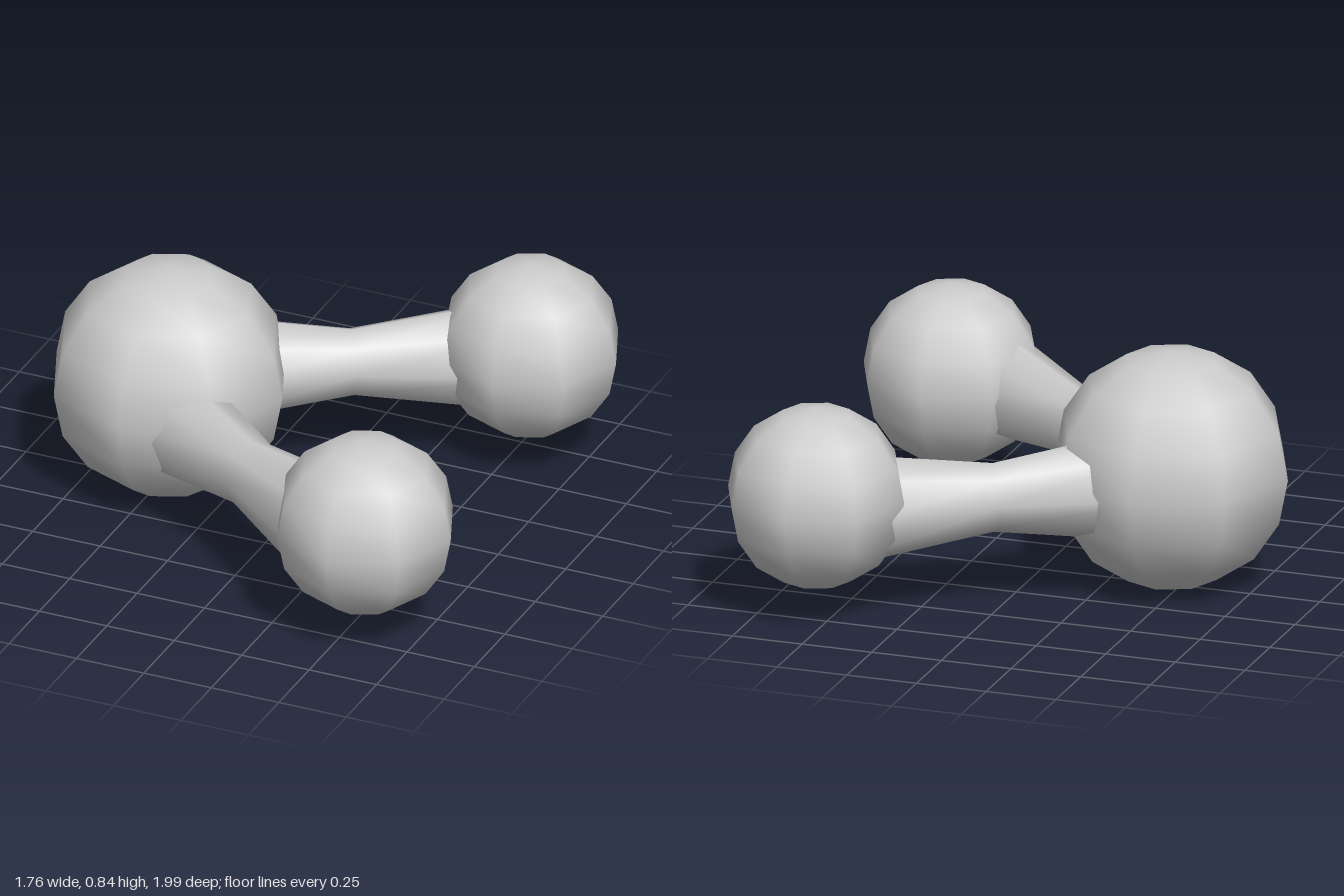
import * as THREE from 'three';

export function createModel() {
  const model = new THREE.Group();
  const material = new THREE.MeshStandardMaterial({ color: 0xcccccc, side: THREE.DoubleSide });

  // Low-poly ball
  function ball(name, radius, x, y, z) {
    const mesh = new THREE.Mesh(new THREE.SphereGeometry(radius, 8, 8), material);
    mesh.name = name;
    mesh.position.set(x, y, z);
    model.add(mesh);
  }

  // Waisted eight-sided rod between two points, slightly taller than wide
  function rod(name, from, to) {
    const a = new THREE.Vector3(...from), b = new THREE.Vector3(...to);
    const half = a.distanceTo(b) / 2;
    const profile = [
      new THREE.Vector2(0.18, -half),
      new THREE.Vector2(0.108, 0),
      new THREE.Vector2(0.18, half),
    ];
    const geometry = new THREE.LatheGeometry(profile, 8);
    geometry.scale(1, 1, 1.14);
    // Lay the rod along z, with its tall side upright
    geometry.rotateX(Math.PI / 2);
    const mesh = new THREE.Mesh(geometry, material);
    mesh.name = name;
    mesh.position.copy(a).add(b).multiplyScalar(0.5);
    mesh.lookAt(b);
    model.add(mesh);
  }

  ball('centralBall', 0.418, -0.466, 0.421, 0.005);
  ball('frontBall', 0.317, 0.562, 0.423, 0.677);
  ball('backBall', 0.317, 0.562, 0.423, -0.683);

  rod('frontRod', [-0.42, 0.36, 0.147], [0.5, 0.4, 0.753]);
  rod('backRod', [-0.435, 0.395, -0.11], [0.495, 0.375, -0.68]);

  return model;
}
